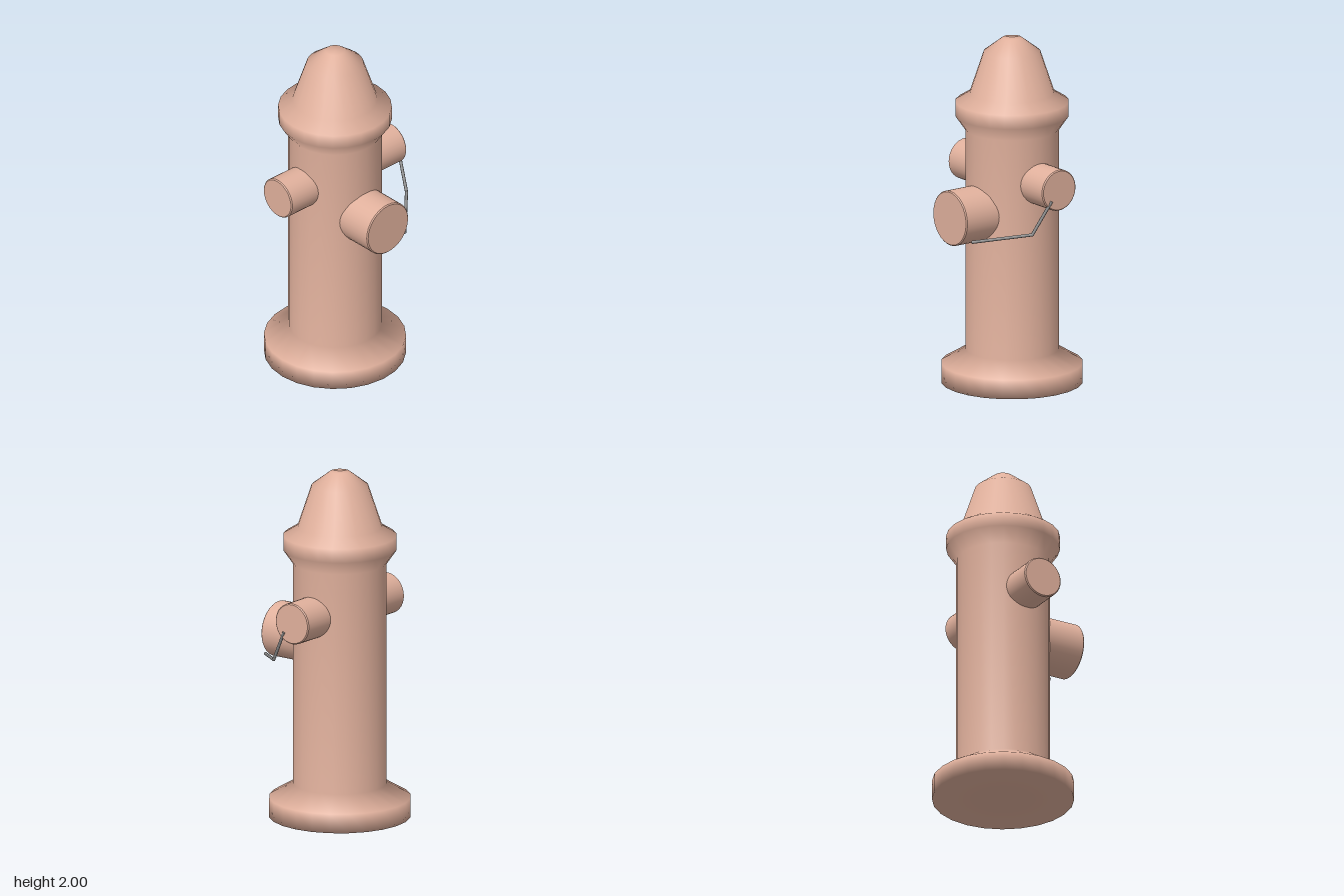
import * as THREE from 'three';

const CX = -0.005, CZ = -0.02; // axis of the barrel

function lathe(name, points, segments, material) {
  const profile = points.map(([r, y]) => new THREE.Vector2(r, y));
  const mesh = new THREE.Mesh(new THREE.LatheGeometry(profile, segments), material);
  mesh.name = name;
  return mesh;
}

// Capped outlet pointing along +y, with a narrow bevel and a flat end
function outlet(name, radius, length, material) {
  const b = 0.006;
  return lathe(name, [
    [radius, 0], [radius, length - b], [radius, length - b],
    [radius - b, length], [radius - b, length], [0, length],
  ], 32, material);
}

// Straight rod between two points
function rod(name, a, b, radius, material) {
  const dir = b.clone().sub(a);
  const mesh = new THREE.Mesh(new THREE.CylinderGeometry(radius, radius, dir.length(), 8), material);
  mesh.position.copy(a).add(b).multiplyScalar(0.5);
  mesh.quaternion.setFromUnitVectors(new THREE.Vector3(0, 1, 0), dir.normalize());
  mesh.name = name;
  return mesh;
}

export function createModel() {
  const group = new THREE.Group();
  group.name = 'fireHydrant';
  const paint = new THREE.MeshStandardMaterial({ color: 0xe0b09c });
  const metal = new THREE.MeshStandardMaterial({ color: 0x8c8c8c });

  // Base flange, barrel, collar and bonnet in one smooth profile
  const body = lathe('body', [
    [0, 0], [0.4, 0], [0.4, 0.11], [0.265, 0.19], [0.265, 1.47],
    [0.32, 1.55], [0.32, 1.63], [0.24, 1.68], [0.16, 1.92], [0.055, 2], [0, 2],
  ], 24, paint);
  body.position.set(CX, 0, CZ);
  group.add(body);

  // Side outlets
  for (const side of [1, -1]) {
    const mesh = outlet(side > 0 ? 'leftOutlet' : 'rightOutlet', 0.118, 0.44, paint);
    mesh.rotation.z = -side * Math.PI / 2;
    mesh.position.set(CX, 1.203, CZ);
    group.add(mesh);
  }

  // Larger front outlet
  const front = outlet('frontOutlet', 0.158, 0.44, paint);
  front.rotation.x = Math.PI / 2;
  front.position.set(CX, 1.017, CZ);
  group.add(front);

  // Bent chain linking the front and left caps
  const chain = new THREE.Group();
  chain.name = 'chain';
  const r = 0.009;
  const path = [
    new THREE.Vector3(0.155, 0.907, 0.385),
    new THREE.Vector3(0.394, 0.962, 0.14),
    new THREE.Vector3(0.435, 1.148, 0.035),
  ];
  for (let i = 0; i < 2; i++) chain.add(rod('chainLink', path[i], path[i + 1], r, metal));
  const joint = new THREE.Mesh(new THREE.SphereGeometry(r, 8, 6), metal);
  joint.name = 'chainJoint';
  joint.position.copy(path[1]);
  chain.add(joint);
  group.add(chain);

  return group;
}
